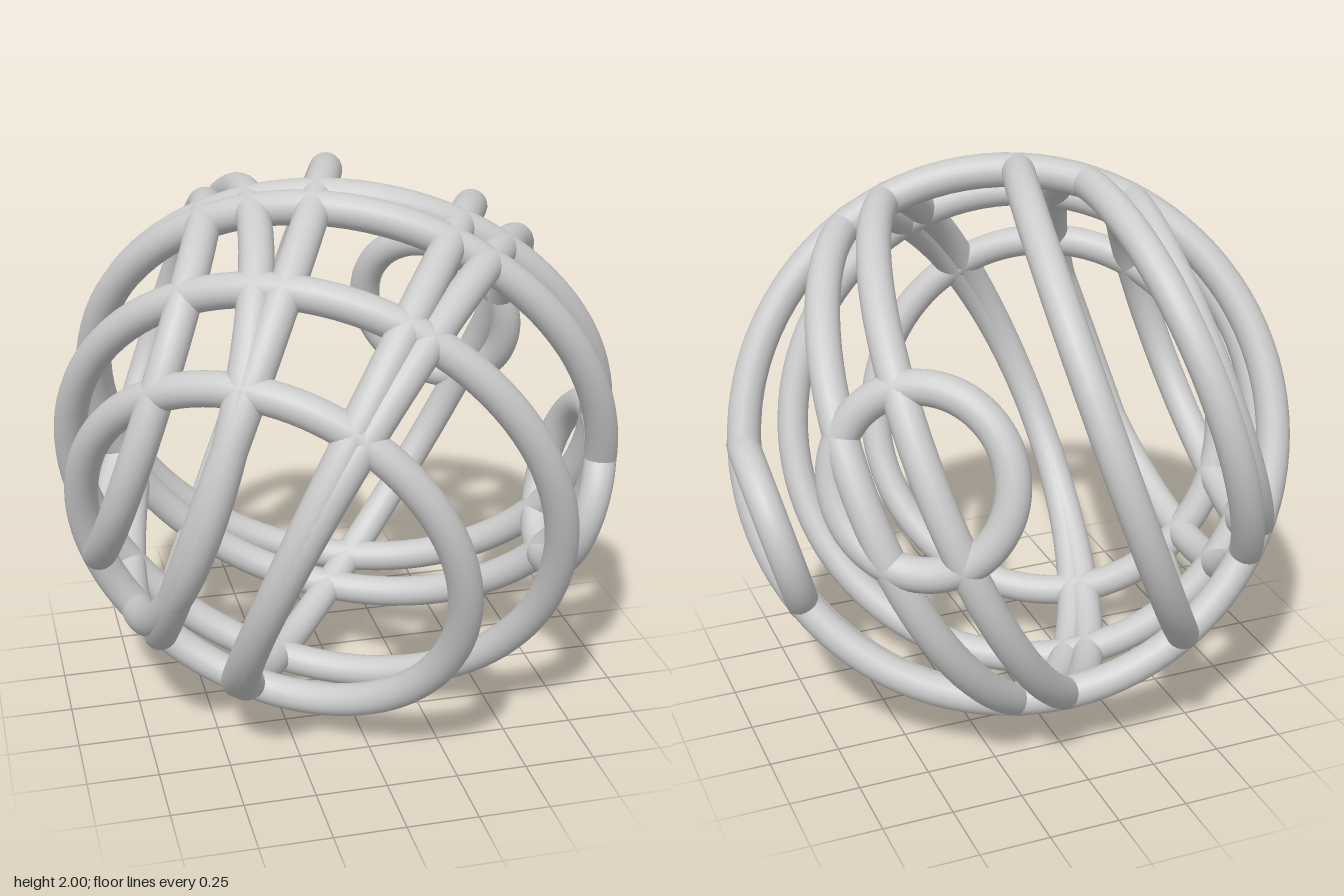
import * as THREE from 'three';

const SPHERE = 0.942; // radius of the sphere the hoops lie on
const TUBE = 0.058;

// Each hoop is a slice of the sphere: axis direction and distance of its plane from the centre.
const HOOPS = [
  // hoops stacked from the back left towards the front right
  ['smallBackRing', [0.62, 0.235, -0.74], 0.893],
  ['backPairOuterHoop', [0.333, 0.396, -0.864], 0.21],
  ['backPairInnerHoop', [0.42, 0.36, -0.83], 0.09],
  ['frontLargeHoop', [0.48, 0.32, -0.81], -0.33],
  ['frontMediumHoop', [0.55, 0.30, -0.775], -0.64],
  // hoops stacked from side to side
  ['smallSideRing', [0.96, -0.27, 0.10], 0.893],
  ['sidePairOuterHoop', [0.75, -0.43, 0.50], 0.20],
  ['sidePairInnerHoop', [0.815, -0.39, 0.395], 0.075],
  ['sideLargeHoop', [0.885, -0.33, 0.28], -0.355],
  ['sideMediumHoop', [0.955, -0.29, 0.04], -0.55],
  ['sideOuterHoop', [0.925, -0.325, 0.19], -0.69],
];

export function createModel() {
  const group = new THREE.Group();
  group.name = 'hoopSphere';
  const material = new THREE.MeshStandardMaterial({ color: 0xcccccc });
  const forward = new THREE.Vector3(0, 0, 1);

  for (const [name, direction, distance] of HOOPS) {
    const axis = new THREE.Vector3(...direction).normalize();
    const radius = Math.sqrt(SPHERE * SPHERE - distance * distance);
    const hoop = new THREE.Mesh(new THREE.TorusGeometry(radius, TUBE, 20, 96), material);
    hoop.name = name;
    hoop.quaternion.setFromUnitVectors(forward, axis);
    hoop.position.copy(axis).multiplyScalar(distance);
    hoop.position.y += 1;
    group.add(hoop);
  }
  return group;
}
